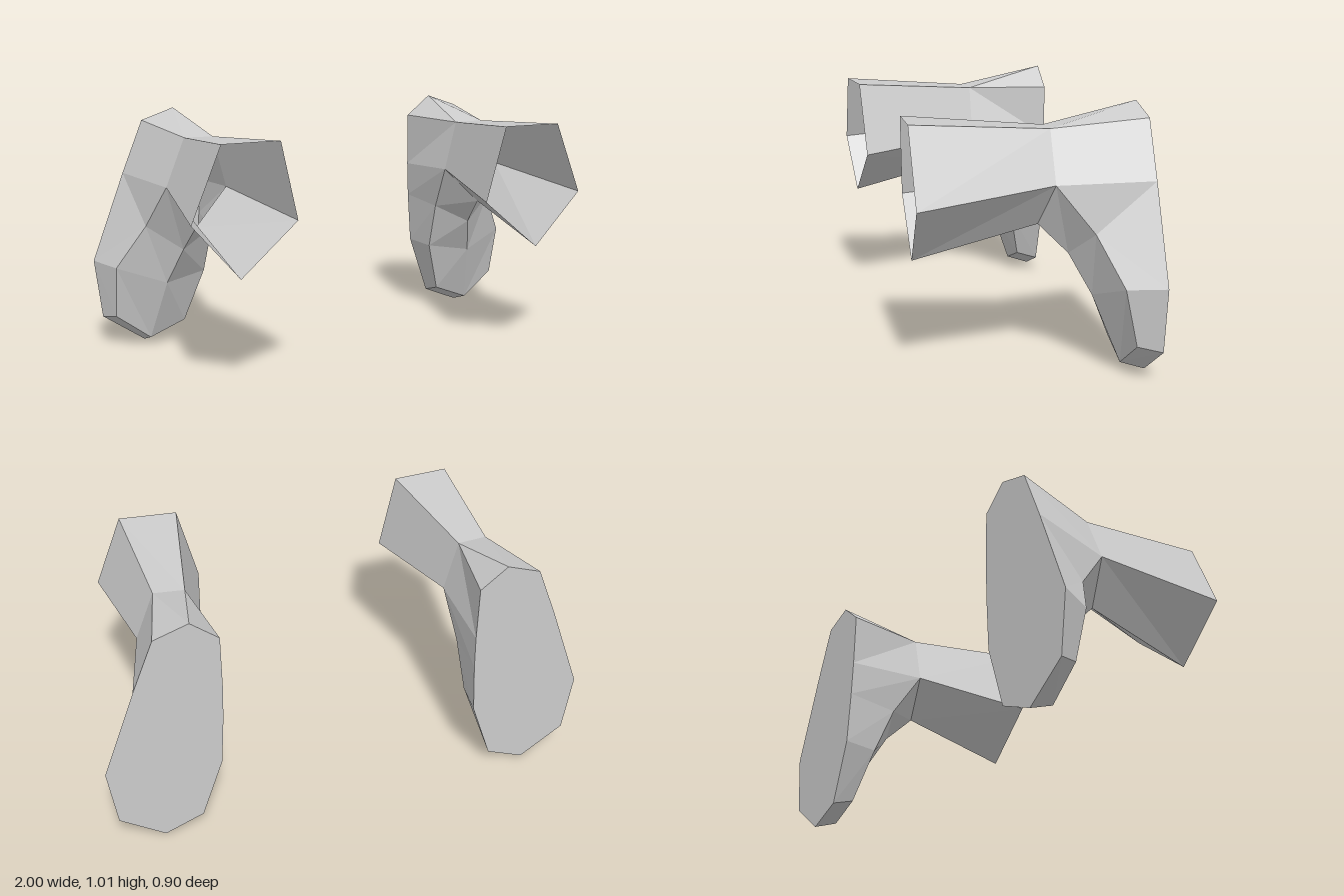
import * as THREE from 'three';

const material = new THREE.MeshStandardMaterial({ color: 0xcccccc, flatShading: true, side: THREE.DoubleSide });

// Quads between two point lists of equal length; collapsed triangles are dropped
function strip(a, b) {
  const tris = [];
  for (let i = 0; i < a.length - 1; i++) {
    tris.push([a[i], b[i], b[i + 1]], [a[i], b[i + 1], a[i + 1]]);
  }
  return tris.filter(([p, q, r]) => p !== q && q !== r && p !== r);
}

// Faceted mesh; side = -1 mirrors it across x and flips the winding
function facets(name, tris, side) {
  const points = tris.flatMap(([p, q, r]) => (side > 0 ? [p, q, r] : [p, r, q]));
  const geometry = new THREE.BufferGeometry().setFromPoints(
    points.map(([x, y, z]) => new THREE.Vector3(side * x, y, z)));
  geometry.computeVertexNormals();
  const mesh = new THREE.Mesh(geometry, material);
  mesh.name = name;
  return mesh;
}

function createSleeve(side) {
  // Pentagon rings: top outer, top inner, inner side, bottom, outer side
  const opening = [[0.735, 0.972, 0.447], [0.495, 0.97, 0.43], [0.42, 0.66, 0.412], [0.66, 0.457, 0.425], [0.855, 0.68, 0.443]];
  const waist = [[0.70, 0.933, -0.09], [0.575, 0.93, -0.1], [0.522, 0.72, -0.1], [0.67, 0.57, -0.055], [0.78, 0.735, -0.09]];
  const [topOuter, topInner, innerSide, bottom, outerSide] = waist;

  // Columns running down the front of the flare
  const outer = [outerSide, [0.83, 0.555, -0.23], [0.94, 0.37, -0.31], [0.935, 0.148, -0.36]];
  const centre = [bottom, [0.69, 0.455, -0.17], [0.74, 0.30, -0.25], [0.79, 0.04, -0.35]];
  const inner = [innerSide, [0.545, 0.53, -0.22], [0.56, 0.325, -0.3], [0.635, 0.1, -0.355]];

  // Flat rim at the back, from the inner top corner round the outside
  const rim = [[0.52, 0.93], [0.63, 1.018], [0.77, 0.97], [0.86, 0.75], [1.0, 0.38], [0.97, 0.13],
    [0.79, 0.005], [0.63, 0.07], [0.54, 0.33], [0.525, 0.55], [0.52, 0.7]].map(([x, y]) => [x, y, -0.45]);
  const backLoop = [0, 1, 1, 2, 3, 4, 4, 5, 6, 7, 8, 9, 10, 0].map((i) => rim[i]);
  const frontLoop = [topInner, topInner, topOuter, topOuter, ...outer, centre[3],
    inner[3], inner[2], inner[1], inner[0], topInner];
  const middle = [0.74, 0.5, -0.45];
  const backCap = rim.map((p, i) => [middle, p, rim[(i + 1) % rim.length]]);

  const sleeve = new THREE.Group();
  sleeve.name = side > 0 ? 'leftSleeve' : 'rightSleeve';
  sleeve.add(
    facets('openTube', strip([...opening, opening[0]], [...waist, waist[0]]), side),
    facets('flare', [...strip(backLoop, frontLoop), ...strip(outer, centre), ...strip(centre, inner)], side),
    facets('backCap', backCap, side),
  );
  return sleeve;
}

export function createModel() {
  const model = new THREE.Group();
  model.name = 'sleevePair';
  for (const side of [1, -1]) model.add(createSleeve(side));
  return model;
}
